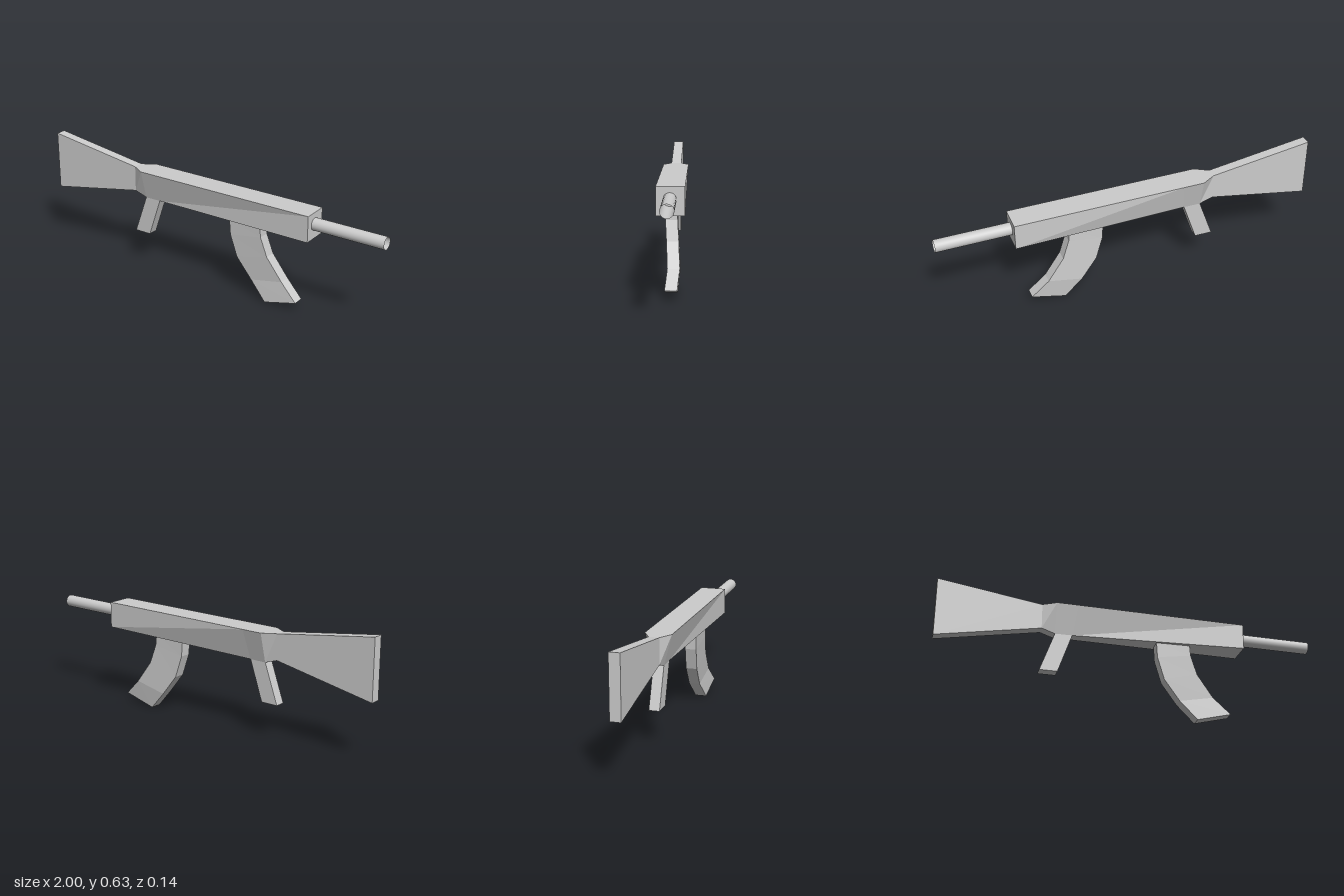
import * as THREE from 'three';

// Four-corner ring spanning edge A (lower or rear) and edge B (upper or front)
// a, b: [x, y, half width], zc: centre in z
function ring(a, b, zc = 0) {
  return [
    [a[0], a[1], zc - a[2]],
    [a[0], a[1], zc + a[2]],
    [b[0], b[1], zc + b[2]],
    [b[0], b[1], zc - b[2]],
  ];
}

// Flat-faced solid joining the rings, closed at both ends
function loft(rings) {
  const pos = [];
  const quad = (a, b, c, d) => [a, b, c, a, c, d].forEach((p) => pos.push(...p));
  for (let s = 0; s < rings.length - 1; s++) {
    const r = rings[s], n = rings[s + 1];
    for (let i = 0; i < 4; i++) {
      const j = (i + 1) % 4;
      quad(r[i], n[i], n[j], r[j]);
    }
  }
  quad(...rings[0]);
  quad(...[...rings[rings.length - 1]].reverse());
  const g = new THREE.BufferGeometry();
  g.setAttribute('position', new THREE.Float32BufferAttribute(pos, 3));
  g.computeVertexNormals();
  return g;
}

export function createModel() {
  const group = new THREE.Group();
  const lightGrey = new THREE.MeshStandardMaterial({ color: 0xcccccc, side: THREE.DoubleSide });
  lightGrey.name = 'lightGrey';
  const add = (name, geometry) => {
    const mesh = new THREE.Mesh(geometry, lightGrey);
    mesh.name = name;
    group.add(mesh);
    return mesh;
  };

  const thin = 0.027, wide = 0.068;

  // Shoulder stock flaring to the rear, flowing into the boxy receiver
  add('stockAndReceiver', loft([
    ring([-1, 0.315, thin], [-1, 0.63, thin]),
    ring([-0.46, 0.418, thin], [-0.46, 0.553, thin]),
    ring([-0.39, 0.395, thin], [-0.39, 0.553, wide]),
    ring([-0.30, 0.396, thin], [-0.28, 0.553, wide]),
    ring([0.615, 0.416, wide], [0.615, 0.553, wide]),
  ]));

  // Slanted rear grip
  add('grip', loft([
    ring([-0.39, 0.397, thin], [-0.30, 0.398, thin]),
    ring([-0.465, 0.187, thin], [-0.372, 0.187, thin]),
  ]));

  // Curved magazine, bending slightly sideways on its way down
  const m = 0.03;
  add('magazine', loft([
    ring([0.145, 0.408, m], [0.325, 0.414, m], 0.005),
    ring([0.15, 0.325, m], [0.33, 0.355, m], 0.003),
    ring([0.187, 0.207, m], [0.365, 0.253, m], -0.003),
    ring([0.27, 0.098, m], [0.45, 0.135, m], -0.01),
    ring([0.36, 0, m], [0.54, 0.047, m], 0.001),
  ]));

  // Open round barrel
  const barrel = add('barrel', new THREE.CylinderGeometry(0.032, 0.032, 0.385, 32, 1, true));
  barrel.rotation.z = -Math.PI / 2;
  barrel.position.set(0.8075, 0.492, 0.003);

  return group;
}
